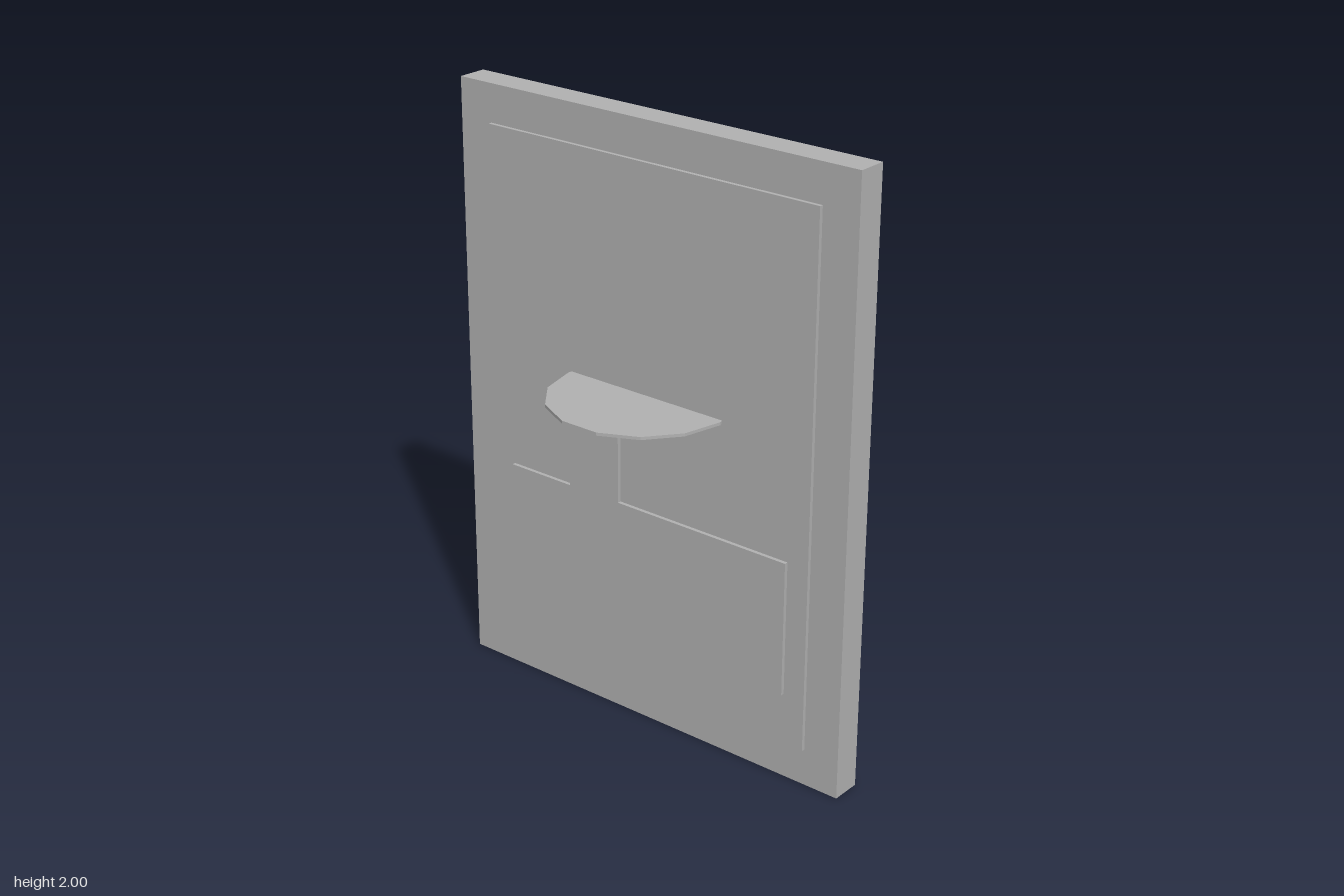
import * as THREE from 'three';

export function createModel() {
  const model = new THREE.Group();
  const grey = new THREE.MeshStandardMaterial({ color: 0xb2b2b2 });
  grey.name = 'plainGrey';

  const add = (name, geometry, x, y, z) => {
    const mesh = new THREE.Mesh(geometry, grey);
    mesh.name = name;
    mesh.position.set(x, y, z);
    model.add(mesh);
  };

  // Thick backing board and the thin raised sheet on its front
  add('board', new THREE.BoxGeometry(1.5, 2, 0.1), 0, 1, -0.075);
  add('raisedSheet', new THREE.BoxGeometry(1.25, 1.75, 0.0125), 0, 1, -0.01875);

  // Stepped plate: wide block with a narrow upright tab
  const outline = [
    [-0.55, 0.3], [0.55, 0.3], [0.55, 0.75], [-0.1, 0.75],
    [-0.1, 1.05], [-0.3, 1.05], [-0.3, 0.75], [-0.55, 0.75],
  ].map(([x, y]) => new THREE.Vector2(x, y));
  const plate = new THREE.ExtrudeGeometry(new THREE.Shape(outline), { depth: 0.0125, bevelEnabled: false });
  add('steppedPlate', plate, 0, 0, -0.0125);

  // Thin fourteen-sided disc passing through the board
  const disc = new THREE.CylinderGeometry(0.3, 0.3, 0.01, 14, 1, false, Math.PI / 2).toNonIndexed();
  disc.computeVertexNormals();
  add('disc', disc, 0, 1.134, 0);

  return model;
}
